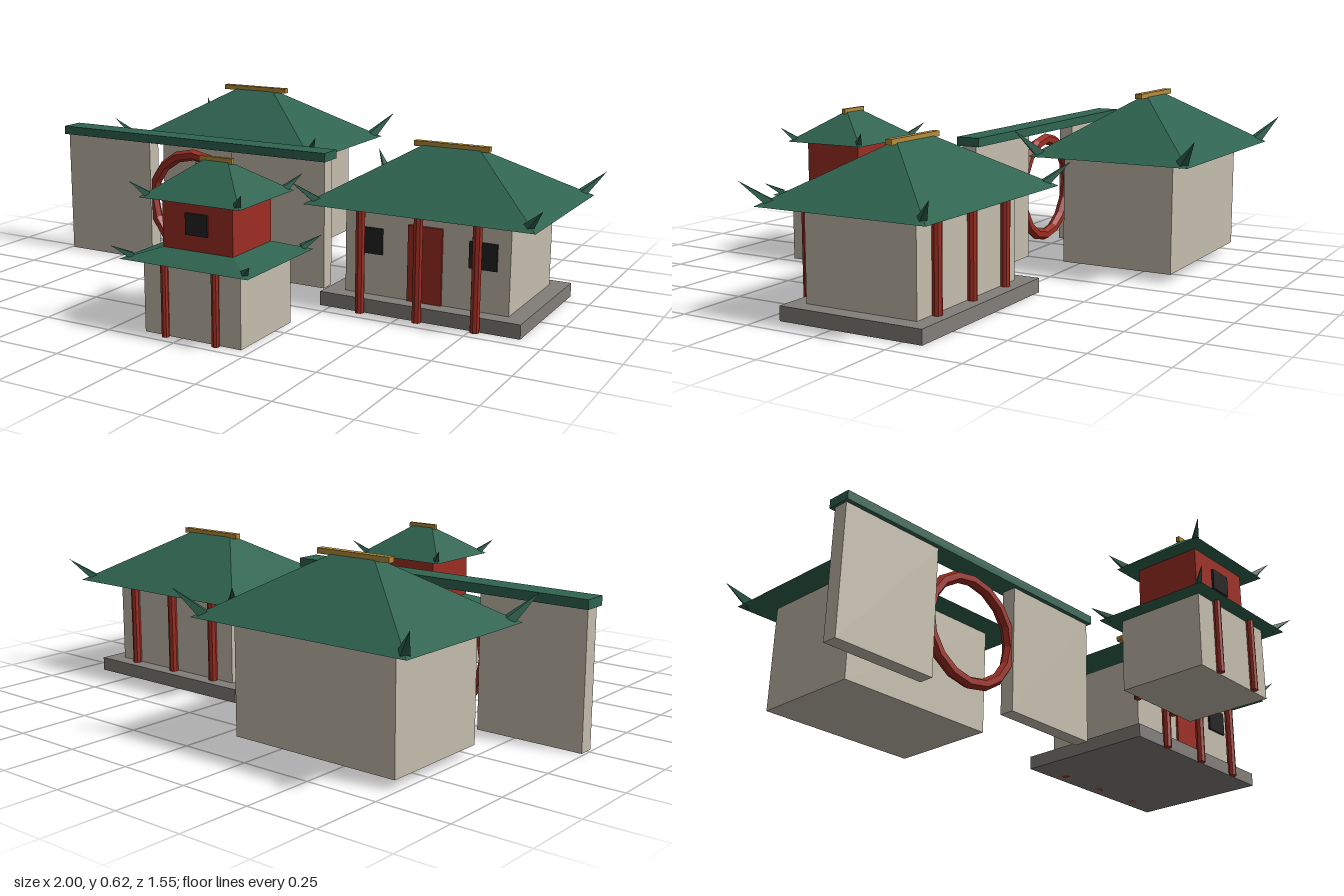
import * as THREE from 'three';

const mat = (name, color) => {
  const m = new THREE.MeshStandardMaterial({ color, flatShading: true });
  m.name = name;
  return m;
};

export function createModel() {
  const plaster = mat('plaster', 0xc4bdad);
  const red = mat('red lacquer', 0x9c2d22);
  const green = mat('green tile', 0x2f6350);
  const gold = mat('gold ridge', 0xb48c3c);
  const stone = mat('stone', 0x827e7a);
  const dark = mat('dark window', 0x222222);
  const model = new THREE.Group();

  const group = (name, x, z) => {
    const g = new THREE.Group();
    g.name = name;
    g.position.set(x, 0, z);
    model.add(g);
    return g;
  };
  const add = (parent, name, geometry, material, x = 0, y = 0, z = 0) => {
    const m = new THREE.Mesh(geometry, material);
    m.name = name;
    m.position.set(x, y, z);
    parent.add(m);
    return m;
  };
  // box standing on y0 and reaching y1
  const block = (parent, name, material, w, d, y0, y1, x = 0, z = 0) =>
    add(parent, name, new THREE.BoxGeometry(w, y1 - y0, d), material, x, (y0 + y1) / 2, z);
  const column = (parent, r, top, x, z) =>
    add(parent, 'column', new THREE.CylinderGeometry(r, r, top, 8), red, x, top / 2, z);

  // hipped roof: a box whose top is drawn in, with an upturned horn on each corner
  const roof = (parent, name, o) => {
    const geo = new THREE.BoxGeometry(2, 1, 2);
    const p = geo.attributes.position;
    for (let i = 0; i < p.count; i++) {
      const top = p.getY(i) > 0;
      p.setXYZ(i,
        p.getX(i) * (top ? o.topX : o.halfX),
        top ? o.y1 : o.y0,
        p.getZ(i) * (top ? o.topZ : o.halfZ));
    }
    geo.computeVertexNormals();
    add(parent, name, geo, green);

    for (const sx of [-1, 1]) for (const sz of [-1, 1]) {
      const base = new THREE.Vector3(sx * (o.halfX - o.inset), o.y0 + 0.008, sz * (o.halfZ - o.inset));
      const tip = new THREE.Vector3(sx * (o.halfX + o.outset), o.y0 + o.rise, sz * (o.halfZ + o.outset));
      const dir = tip.clone().sub(base);
      const horn = add(parent, 'eaveHorn', new THREE.ConeGeometry(o.hornR, dir.length(), 4), green);
      horn.position.copy(base).add(tip).multiplyScalar(0.5);
      horn.quaternion.setFromUnitVectors(new THREE.Vector3(0, 1, 0), dir.normalize());
    }
    if (o.ridge) block(parent, 'ridgeBar', gold, o.ridge[0], o.ridge[1], o.y1 - 0.006, o.y1 + 0.012);
  };

  // rear hall
  const rear = group('rearHall', -0.428, -0.445);
  block(rear, 'hallBody', plaster, 0.62, 0.405, 0.03, 0.414);
  roof(rear, 'hallRoof', {
    halfX: 0.412, halfZ: 0.292, topX: 0.08, topZ: 0.008, y0: 0.413, y1: 0.61,
    inset: 0.03, outset: 0.036, rise: 0.093, hornR: 0.022, ridge: [0.277, 0.025],
  });

  // side hall on a platform
  const side = group('sideHall', 0.567, -0.062);
  block(side, 'platform', stone, 0.705, 0.512, 0, 0.048, -0.004);
  block(side, 'hallBody', plaster, 0.578, 0.4, 0.048, 0.341);
  block(side, 'door', red, 0.12, 0.008, 0.048, 0.305, 0, 0.204);
  for (const s of [-1, 1]) block(side, 'window', dark, 0.094, 0.008, 0.19, 0.278, s * 0.199, 0.204);
  for (const x of [-0.205, 0, 0.2])
    for (const z of [0.262, -0.213]) column(side, 0.016, 0.355, x, z);
  roof(side, 'hallRoof', {
    halfX: 0.398, halfZ: 0.303, topX: 0.1, topZ: 0.008, y0: 0.354, y1: 0.533,
    inset: 0.036, outset: 0.031, rise: 0.08, hornR: 0.018, ridge: [0.268, 0.023],
  });

  // two-storey tower
  const tower = group('tower', 0.038, 0.553);
  block(tower, 'lowerBody', plaster, 0.355, 0.3, 0, 0.243);
  block(tower, 'upperBody', red, 0.257, 0.225, 0.26, 0.438);
  block(tower, 'window', dark, 0.08, 0.008, 0.326, 0.395, 0, 0.116);
  for (const x of [-0.093, 0.093])
    for (const z of [-0.16, 0.16]) column(tower, 0.0125, 0.243, x, z);
  roof(tower, 'lowerRoof', {
    halfX: 0.2335, halfZ: 0.2, topX: 0.125, topZ: 0.11, y0: 0.242, y1: 0.276,
    inset: 0.028, outset: 0.019, rise: 0.045, hornR: 0.014,
  });
  roof(tower, 'upperRoof', {
    halfX: 0.183, halfZ: 0.161, topX: 0.045, topZ: 0.005, y0: 0.436, y1: 0.541,
    inset: 0.02, outset: 0.02, rise: 0.053, hornR: 0.014, ridge: [0.12, 0.013],
  });

  // garden wall with a round gate
  const wall = group('gardenWall', -0.429, -0.004);
  for (const s of [-1, 1]) block(wall, 'wallPanel', plaster, 0.382, 0.054, 0, 0.456, s * 0.371);
  block(wall, 'wallCap', green, 1.142, 0.086, 0.456, 0.487);
  add(wall, 'moonGateRing', new THREE.TorusGeometry(0.185, 0.021, 6, 16), red, 0, 0.235, 0);

  return model;
}
